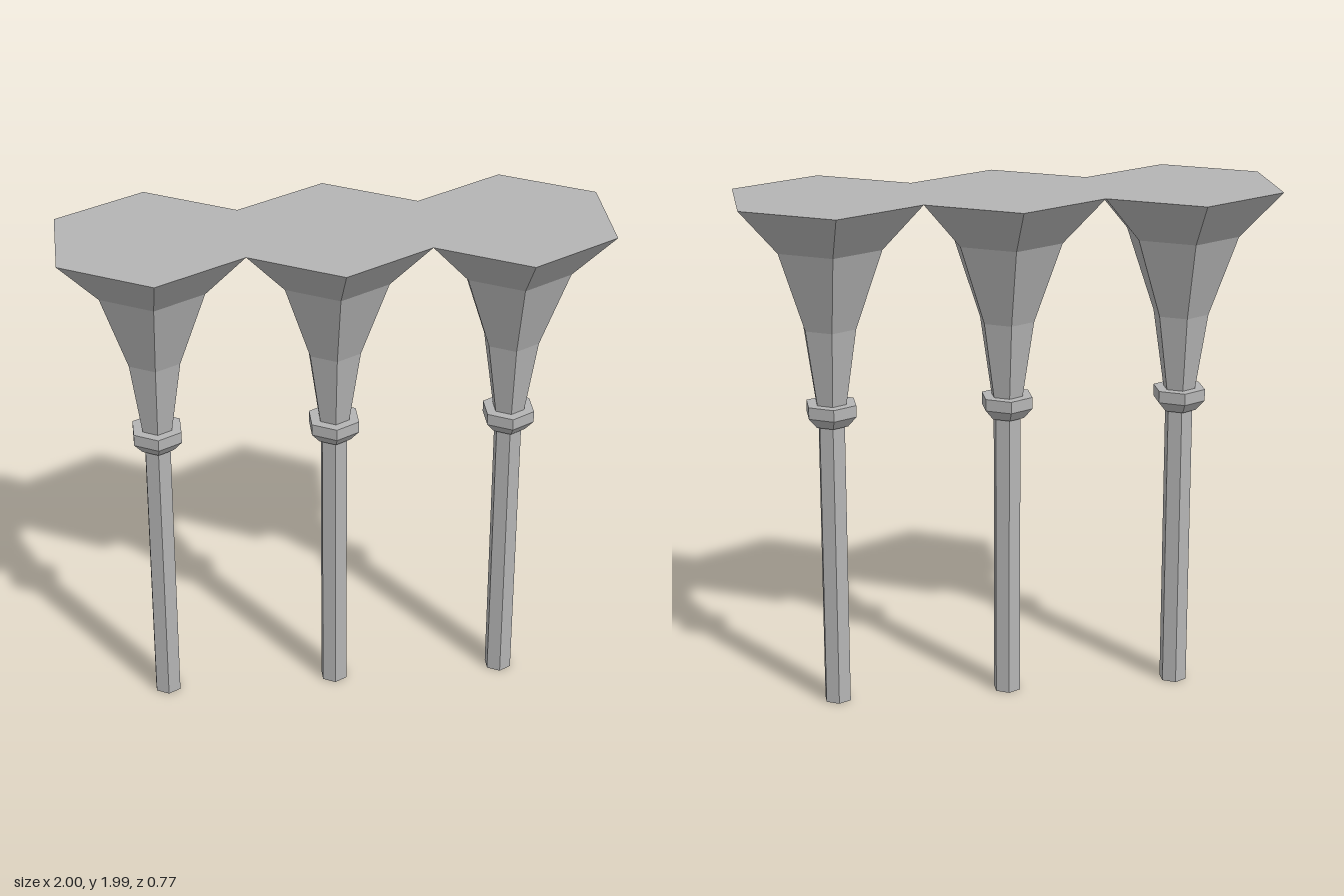
import * as THREE from 'three';

const SIDES = 6;
const HALF_WIDTH = 1 / 3; // flat-to-flat half width of one canopy
const toRadius = (halfWidth) => halfWidth / Math.cos(Math.PI / SIDES);

// Closed six-sided solid from [half width, height] pairs, listed bottom to top
function hexSolid(name, profile, material) {
  const points = [
    new THREE.Vector2(0, profile[0][1]),
    ...profile.map(([w, y]) => new THREE.Vector2(toRadius(w), y)),
    new THREE.Vector2(0, profile[profile.length - 1][1]),
  ];
  const mesh = new THREE.Mesh(new THREE.LatheGeometry(points, SIDES), material);
  mesh.name = name;
  return mesh;
}

export function createModel() {
  const model = new THREE.Group();
  model.name = 'hexagonalColumnRow';

  const stone = new THREE.MeshStandardMaterial({ color: 0xb4b4b4, flatShading: true });
  stone.name = 'grey stone';

  for (let i = -1; i <= 1; i++) {
    const column = new THREE.Group();
    column.name = 'column';
    column.position.x = i * HALF_WIDTH * 2;

    // Slim post
    column.add(hexSolid('shaft', [[0.047, 0], [0.047, 1.12]], stone));

    // Ring with a chamfered underside
    column.add(hexSolid('collar', [[0.059, 1.12], [0.089, 1.16], [0.089, 1.205]], stone));

    // Flared head whose flat tops meet edge to edge
    column.add(hexSolid('flaredCanopy',
      [[0.054, 1.2], [0.094, 1.5], [0.19, 1.81], [HALF_WIDTH, 1.99]], stone));

    model.add(column);
  }
  return model;
}
